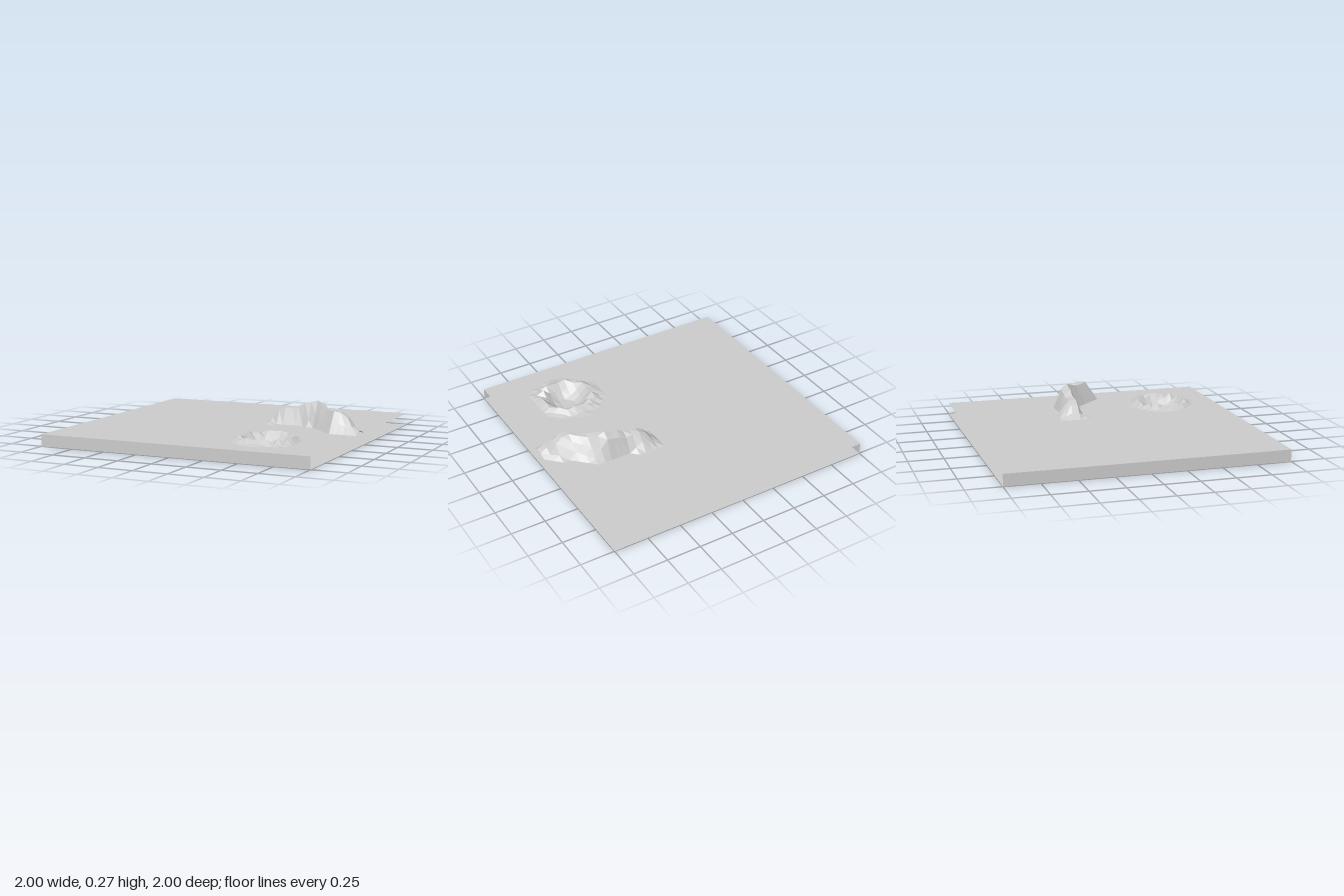
import * as THREE from 'three';

const GROUND = 0.085, CELLS = 40, STEP = 2 / CELLS;

// Ridge columns from x = 0.25 to 1.0: [crest z, height above ground, back foot z, front foot z]
const RIDGE = [
  [-0.15, 0.04, -0.30, -0.07], [-0.15, 0.095, -0.30, -0.10], [-0.15, 0.12, -0.30, -0.10],
  [-0.15, 0.122, -0.27, -0.10], [-0.15, 0.132, -0.25, -0.10], [-0.15, 0.16, -0.25, -0.10],
  [-0.15, 0.17, -0.25, -0.08], [-0.15, 0.185, -0.25, -0.05], [-0.10, 0.165, -0.25, 0.00],
  [-0.05, 0.142, -0.21, 0.05], [0.00, 0.14, -0.18, 0.10], [0.05, 0.145, -0.14, 0.15],
  [0.05, 0.138, -0.10, 0.15], [0.05, 0.105, -0.07, 0.15], [0.10, 0.05, -0.04, 0.15],
  [0.10, 0.027, 0.00, 0.15],
];

// Crater radial profile: [radius, height relative to ground]
const CRATER = [[0, -0.068], [0.075, -0.064], [0.15, 0], [0.182, 0.043], [0.237, 0]];

function ridgeHeight(x, z) {
  const column = RIDGE[Math.round((x - 0.25) / STEP)];
  if (!column) return 0;
  const [crest, height, back, front] = column;
  if (z <= back || z >= front) return 0;
  // gentle rounded back, steep straight front
  return z <= crest
    ? height * Math.min(1, 1.6 * (z - back) / (crest - back))
    : height * (front - z) / (front - crest);
}

function craterHeight(x, z) {
  const r = Math.hypot(x - 0.515, z - 0.578);
  for (let i = 1; i < CRATER.length; i++) {
    const [r0, h0] = CRATER[i - 1], [r1, h1] = CRATER[i];
    if (r <= r1) return THREE.MathUtils.mapLinear(r, r0, r1, h0, h1);
  }
  return 0;
}

// Square height grid with every cell split from back left to front right
function terrainGeometry() {
  const positions = [], indices = [], row = CELLS + 1;
  for (let j = 0; j <= CELLS; j++) {
    for (let i = 0; i <= CELLS; i++) {
      const x = -1 + i * STEP, z = -1 + j * STEP;
      positions.push(x, GROUND + ridgeHeight(x, z) + craterHeight(x, z), z);
      if (i < CELLS && j < CELLS) {
        const a = j * row + i, b = a + row, c = b + 1, d = a + 1;
        indices.push(a, b, c, a, c, d);
      }
    }
  }
  const geometry = new THREE.BufferGeometry();
  geometry.setAttribute('position', new THREE.Float32BufferAttribute(positions, 3));
  geometry.setIndex(indices);
  const flat = geometry.toNonIndexed();
  flat.computeVertexNormals();
  return flat;
}

export function createModel() {
  const model = new THREE.Group();
  model.name = 'terrainTile';
  const stone = new THREE.MeshStandardMaterial({
    color: 0xcccccc, flatShading: true, side: THREE.DoubleSide,
  });
  stone.name = 'light grey stone';

  const add = (name, geometry) => {
    const mesh = new THREE.Mesh(geometry, stone);
    mesh.name = name;
    model.add(mesh);
    return mesh;
  };

  // Upper surface with ridge and crater
  add('terrain', terrainGeometry());

  // Underside sheet
  add('floor', new THREE.PlaneGeometry(2, 2).rotateX(Math.PI / 2));

  // Only two sides are closed: front and right
  add('frontWall', new THREE.PlaneGeometry(2, GROUND)).position.set(0, GROUND / 2, 1);
  add('rightWall', new THREE.PlaneGeometry(2, GROUND).rotateY(-Math.PI / 2)).position.set(-1, GROUND / 2, 0);

  return model;
}
